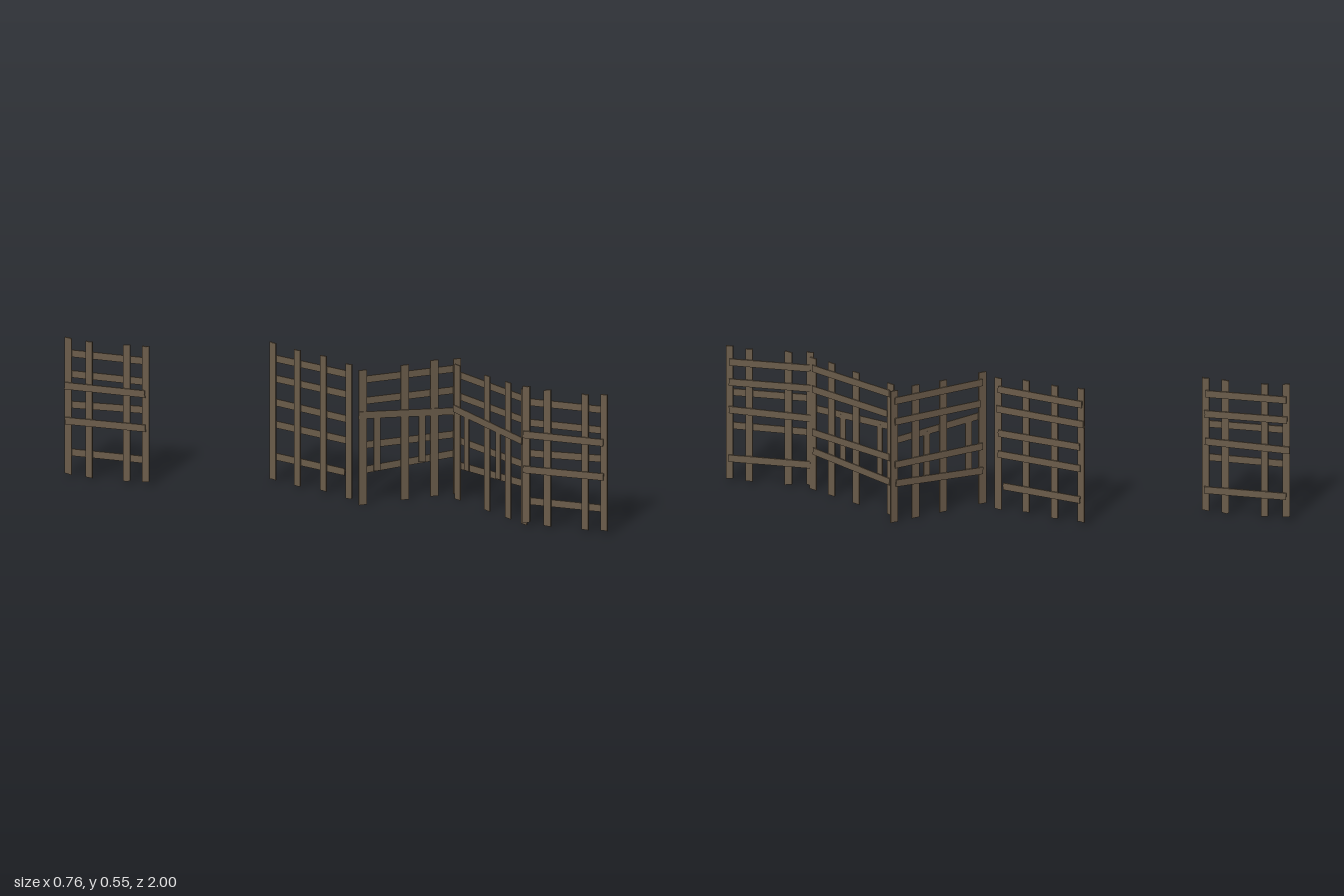
import * as THREE from 'three';

const wood = new THREE.MeshStandardMaterial({ color: 0x6b5c4a });
wood.name = 'weatheredWood';

// Small seeded generator for the rough board ends
let seed = 7;
function rand() {
  seed = (seed * 16807) % 2147483647;
  return seed / 2147483647;
}

// Flat plank running from (x0,y0) to (x1,y1), centred on depth z, with ragged ends
function plank(name, x0, y0, x1, y1, width, thick, z, rough) {
  const len = Math.hypot(x1 - x0, y1 - y0), h = width / 2;
  const j = () => rand() * rough;
  const shape = new THREE.Shape([
    [j(), -h], [len - j(), -h], [len - j(), -h * 0.2], [len - j(), h],
    [j(), h], [j(), h * 0.3],
  ].map(([x, y]) => new THREE.Vector2(x, y)));
  const geo = new THREE.ExtrudeGeometry(shape, { depth: thick, bevelEnabled: false });
  geo.translate(0, 0, -thick / 2);
  const mesh = new THREE.Mesh(geo, wood);
  mesh.name = name;
  mesh.position.set(x0, y0, z);
  mesh.rotation.z = Math.atan2(y1 - y0, x1 - x0);
  return mesh;
}

// Three fence designs. u runs 0..1 from the first post to the last.
// posts: [u, bottom, top]; rails: [u0, y0, u1, y1, side]; battens: [u, bottom, top, side]
const sixRail = {
  postWidth: 0.027, thick: 0.008, rough: 0.006,
  posts: [[0, 0.01, 0.544], [0.27, 0.004, 0.54], [0.755, 0.007, 0.542], [1, 0.012, 0.547]],
  rails: [
    [-0.02, 0.48, 1.01, 0.482, -1], [-0.02, 0.4, 1.02, 0.402, -1],
    [-0.05, 0.356, 1.01, 0.358, 1], [-0.05, 0.28, 1.01, 0.292, -1],
    [-0.05, 0.22, 1.01, 0.225, 1], [-0.01, 0.095, 1.02, 0.098, -1],
  ],
  battens: [],
};
const slantRail = {
  postWidth: 0.031, thick: 0.006, rough: 0.001,
  posts: [[0, 0, 0.525], [0.24, 0, 0.53], [0.555, 0, 0.525], [1, 0, 0.525]],
  rails: [
    [0, 0.485, 1, 0.485, 1], [0, 0.402, 0.97, 0.402, 1],
    [0.02, 0.323, 1.05, 0.352, -1], [0, 0.23, 1, 0.23, 1],
    [0.01, 0.156, 1, 0.133, 1],
  ],
  battens: [[0.375, 0.14, 0.335, -1], [0.85, 0.127, 0.345, -1]],
};
const fiveRail = {
  postWidth: 0.027, thick: 0.007, rough: 0.004,
  posts: [[0, 0, 0.527], [0.335, 0.008, 0.538], [0.68, 0.005, 0.538], [1, 0.01, 0.547]],
  rails: [
    [0, 0.482, 1.02, 0.482, 1], [-0.02, 0.403, 1.04, 0.404, 1],
    [0, 0.307, 1, 0.312, 1], [0, 0.224, 1, 0.226, 1], [0.06, 0.099, 1, 0.101, 1],
  ],
  battens: [],
};

// Builds one panel standing between two ground points [x, z]
function fencePanel(name, d, [ax, az], [bx, bz]) {
  const group = new THREE.Group();
  group.name = name;
  const len = Math.hypot(bx - ax, bz - az);
  for (const [u, y0, y1] of d.posts)
    group.add(plank('post', u * len, y0, u * len, y1, d.postWidth, d.thick, 0, d.rough));
  for (const [u0, y0, u1, y1, side] of d.rails)
    group.add(plank('rail', u0 * len, y0, u1 * len, y1, 0.027, d.thick * 0.8, side * d.thick * 0.85, d.rough));
  for (const [u, y0, y1, side] of d.battens)
    group.add(plank('batten', u * len, y0, u * len, y1, 0.026, d.thick * 0.8, side * d.thick * 0.8, 0.002));
  group.position.set(ax, 0, az);
  group.rotation.y = Math.atan2(-(bz - az), bx - ax);
  return group;
}

export function createModel() {
  const fence = new THREE.Group();
  fence.name = 'brokenFence';
  fence.add(
    fencePanel('rearPanel', sixRail, [-0.367, -0.983], [-0.271, -0.695]),
    fencePanel('middlePanel', fiveRail, [0.067, -0.008], [0.047, -0.347]),
    fencePanel('crossPanel', slantRail, [0.363, 0.267], [0.045, 0.073]),
    fencePanel('sidePanel', slantRail, [0.233, 0.683], [0.308, 0.313]),
    fencePanel('frontPanel', sixRail, [0.226, 0.699], [0.322, 0.987]),
  );
  return fence;
}
